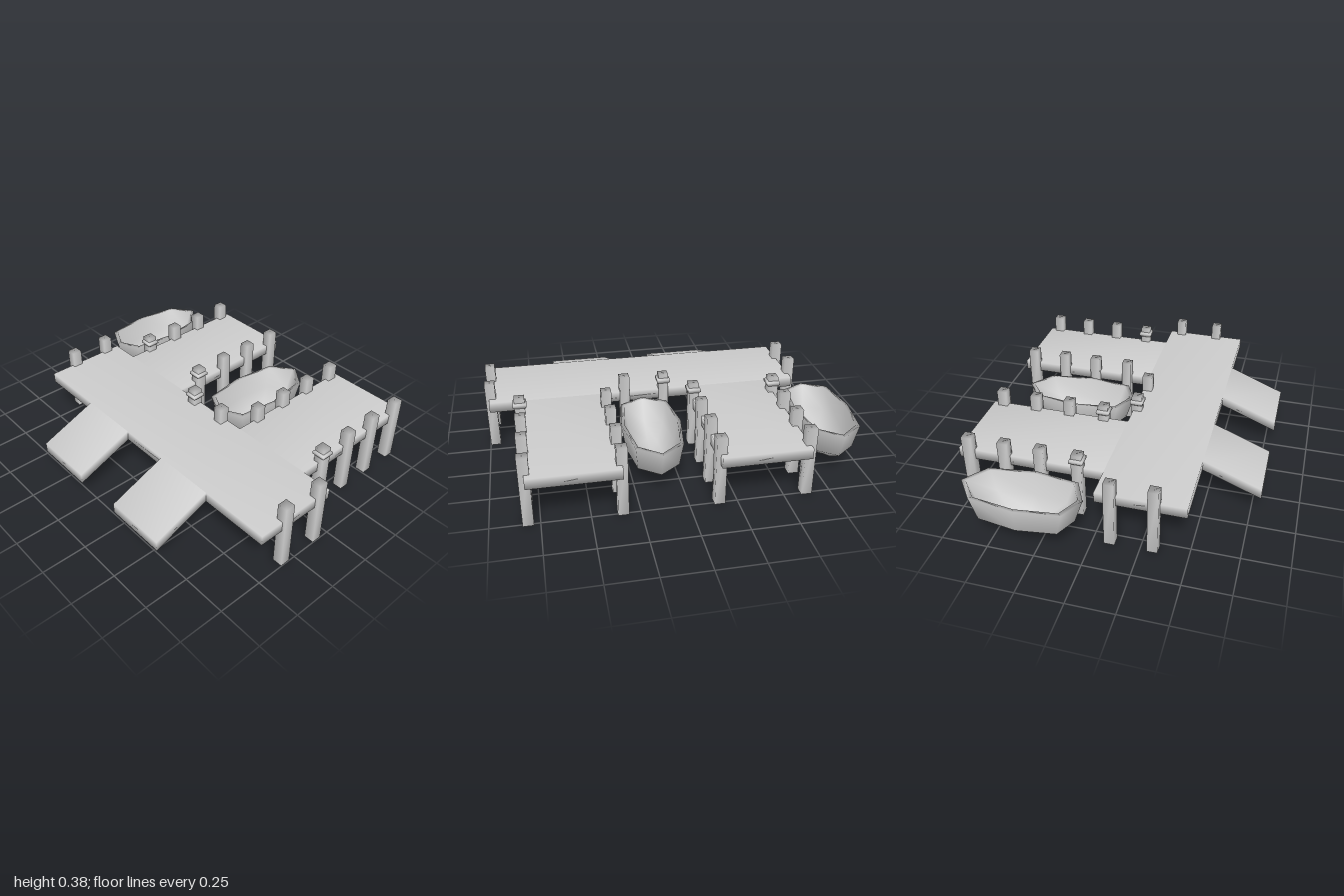
import * as THREE from 'three';
import { mergeVertices } from 'three/addons/utils/BufferGeometryUtils.js';

const grey = new THREE.MeshStandardMaterial({ color: 0xcccccc });
grey.name = 'light grey';

// Weld corners so that shading runs softly over the edges
function soften(geometry) {
  geometry.deleteAttribute('uv');
  geometry.deleteAttribute('normal');
  const welded = mergeVertices(geometry, 1e-4);
  welded.computeVertexNormals();
  return welded;
}

function add(group, name, geometry, x = 0, y = 0, z = 0) {
  const mesh = new THREE.Mesh(geometry, grey);
  mesh.name = name;
  mesh.position.set(x, y, z);
  group.add(mesh);
  return mesh;
}

// Slab from x0 to x1 and z0 to z1; drop lowers its x0 end
function slab(x0, x1, z0, z1, drop = 0) {
  const g = new THREE.BoxGeometry(x1 - x0, 0.058, z1 - z0);
  g.translate((x0 + x1) / 2, 0.265, (z0 + z1) / 2);
  const p = g.attributes.position;
  for (let i = 0; i < p.count; i++) {
    p.setY(i, p.getY(i) - drop * (x1 - p.getX(i)) / (x1 - x0));
  }
  return soften(g);
}

// Rowing boat: an eight-sided outline swept down the hull and back up inside
function boatGeometry() {
  const outline = [[-0.02, 0.162], [0.23, 0.125], [0.325, 0], [0.23, -0.125],
    [-0.02, -0.162], [-0.26, -0.13], [-0.325, 0], [-0.26, 0.13]];
  // scale along x, scale along z, height
  const rings = [[0, 0, 0.048], [0.5, 0.4, 0.058], [0.86, 0.88, 0.13], [1, 1, 0.27],
    [0.92, 0.88, 0.27], [0.78, 0.76, 0.15], [0.45, 0.36, 0.09], [0, 0, 0.082]];
  const positions = [], index = [], n = outline.length;
  for (const [sx, sz, y] of rings) {
    for (const [x, z] of outline) positions.push(x * sx, y, z * sz);
  }
  for (let r = 0; r < rings.length - 1; r++) {
    for (let i = 0; i < n; i++) {
      const a = r * n + i, b = r * n + (i + 1) % n;
      if (r > 0) index.push(a, b, a + n);
      if (r < rings.length - 2) index.push(b, b + n, a + n);
      else continue;
    }
  }
  const g = new THREE.BufferGeometry();
  g.setAttribute('position', new THREE.Float32BufferAttribute(positions, 3));
  g.setIndex(index);
  return soften(g);
}

export function createModel() {
  const model = new THREE.Group();
  model.name = 'dock';

  // Decks and ramps
  add(model, 'mainDeck', slab(-0.48, -0.005, -0.79, 0.98));
  for (const [z0, z1] of [[-0.62, -0.15], [0.34, 0.81]]) {
    add(model, 'pier', slab(-0.005, 0.8, z0, z1));
  }
  for (const [z0, z1] of [[-0.4, -0.05], [0.24, 0.59]]) {
    add(model, 'ramp', slab(-0.8, -0.48, z0, z1, 0.128));
  }

  // Posts
  const posts = [[-0.315, -0.795], [-0.09, -0.795], [-0.315, 0.97], [-0.08, 0.97],
    [-0.025, -0.01], [-0.03, 0.215]];
  for (const z of [-0.62, -0.155, 0.34, 0.81]) {
    for (const x of [0.132, 0.335, 0.535, 0.737]) posts.push([x, z]);
  }
  const postGeometry = soften(new THREE.BoxGeometry(0.056, 0.385, 0.056));
  for (const [x, z] of posts) add(model, 'post', postGeometry, x, 0.1925, z);

  // Square rope collars
  const profile = [[0.026, -0.018], [0.037, -0.007], [0.037, 0.007], [0.026, 0.018]]
    .map(([half, y]) => new THREE.Vector2(half * Math.SQRT2, y));
  const collar = soften(new THREE.LatheGeometry(profile, 4, Math.PI / 4));
  for (const [x, z] of [[0.132, -0.62], [0.132, -0.155], [-0.025, -0.01], [0.132, 0.81]]) {
    add(model, 'ropeCollar', collar, x, 0.347, z);
  }

  // Boats
  const boat = boatGeometry();
  for (const z of [-0.838, 0.123]) add(model, 'boat', boat, 0.36, 0, z);

  return model;
}
